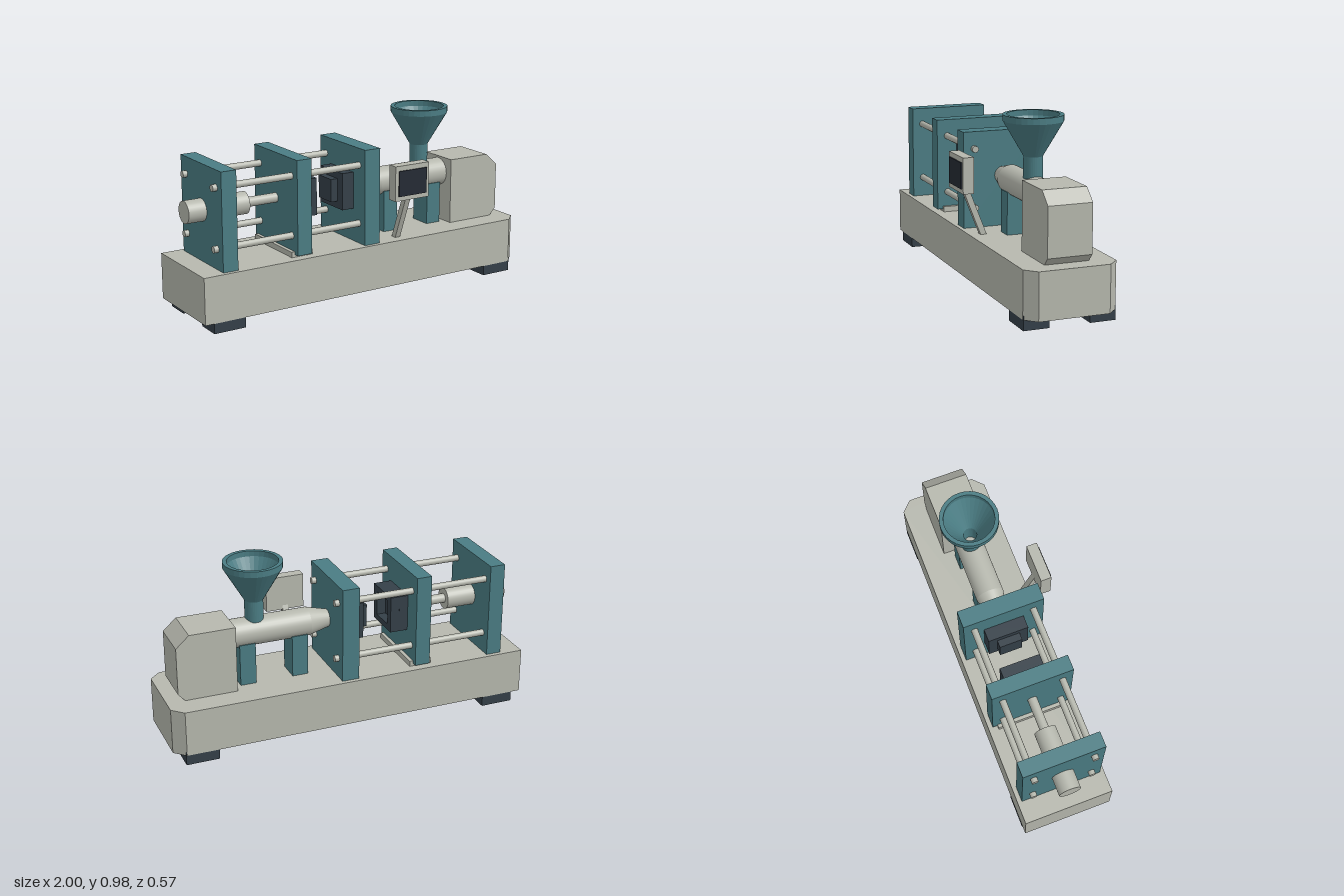
import * as THREE from 'three';

const AXIS_Z = -0.038; // machine centre line
const AXIS_Y = 0.583;  // barrel and clamp height

export function createModel() {
  const model = new THREE.Group();
  model.name = 'injectionMouldingMachine';

  const paint = (name, color) => {
    const m = new THREE.MeshStandardMaterial({ color });
    m.name = name;
    return m;
  };
  const grey = paint('warmGrey', 0xb6b8ae);
  const teal = paint('teal', 0x4a7c83);
  const dark = paint('darkSlate', 0x343f48);
  const black = paint('screenBlack', 0x242a33);

  const add = (name, geometry, material) => {
    const mesh = new THREE.Mesh(geometry, material);
    mesh.name = name;
    model.add(mesh);
    return mesh;
  };
  // Box from its limits on each axis
  const box = (name, mat, x0, x1, y0, y1, z0, z1) =>
    add(name, new THREE.BoxGeometry(x1 - x0, y1 - y0, z1 - z0), mat)
      .position.set((x0 + x1) / 2, (y0 + y1) / 2, (z0 + z1) / 2);
  // Round bar along x, r0 at the low end and r1 at the high end
  const bar = (name, mat, x0, x1, r0, r1 = r0, y = AXIS_Y, z = AXIS_Z, sides = 32) =>
    add(name, new THREE.CylinderGeometry(r1, r0, x1 - x0, sides).rotateZ(-Math.PI / 2), mat)
      .position.set((x0 + x1) / 2, y, z);
  const polygon = (pts) => new THREE.Shape(pts.map(([x, y]) => new THREE.Vector2(x, y)));
  const extrude = (shape, depth) =>
    new THREE.ExtrudeGeometry(shape, { depth, bevelEnabled: false });

  // Base with two clipped corners at the drive end
  const plan = polygon([[-1, -0.248], [0.94, -0.248], [1, -0.19], [1, 0.19], [0.94, 0.248], [-1, 0.248]]);
  add('base', extrude(plan, 0.25).rotateX(-Math.PI / 2), grey).position.set(0, 0.055, AXIS_Z);

  // Feet
  for (const x of [-0.95, 0.765]) {
    for (const z of [-0.285, 0.071]) box('foot', dark, x, x + 0.18, 0, 0.075, z, z + 0.138);
  }

  // Platens and the slide under the moving one
  box('rearPlaten', teal, -0.88, -0.795, 0.305, 0.828, -0.262, 0.187);
  box('movingPlaten', teal, -0.445, -0.36, 0.318, 0.828, -0.262, 0.187);
  box('fixedPlaten', teal, -0.03, 0.065, 0.305, 0.828, -0.262, 0.187);
  box('slideShoe', grey, -0.465, -0.34, 0.304, 0.335, -0.235, 0.157);

  // Tie bars
  for (const y of [0.416, 0.736]) {
    for (const z of [-0.203, 0.128]) bar('tieBar', grey, -0.905, 0.09, 0.018, 0.018, y, z, 16);
  }

  // Clamp cylinder and its rod
  bar('clampCylinder', grey, -0.98, -0.63, 0.06);
  bar('clampRod', grey, -0.64, -0.44, 0.026, 0.026, AXIS_Y, AXIS_Z, 20);

  // Moving mould half: back plate and a frame around the cavity
  const square = (h) => [[-h, -h], [h, -h], [h, h], [-h, h]];
  box('movingMouldBack', dark, -0.36, -0.31, 0.485, 0.687, -0.15, 0.073);
  const frame = polygon([[-0.1115, -0.101], [0.1115, -0.101], [0.1115, 0.101], [-0.1115, 0.101]]);
  frame.holes.push(new THREE.Path(polygon(square(0.068)).getPoints().reverse()));
  add('movingMouldFrame', extrude(frame, 0.05).rotateY(Math.PI / 2), dark)
    .position.set(-0.31, 0.586, AXIS_Z);

  // Fixed mould half with its core
  box('fixedMould', dark, -0.1, -0.03, 0.485, 0.687, -0.15, 0.073);
  box('mouldCore', dark, -0.14, -0.1, 0.525, 0.65, -0.102, 0.024);

  // Barrel, nozzle and supports
  bar('nozzle', grey, 0.05, 0.18, 0.044, 0.077);
  bar('barrel', grey, 0.18, 0.63, 0.077);
  for (const x of [0.2, 0.492]) box('barrelSupport', teal, x, x + 0.088, 0.305, 0.535, AXIS_Z - 0.065, AXIS_Z + 0.065);

  // Drive housing, clipped at its outer end
  const housing = polygon([[0.615, 0.305], [0.9, 0.305], [0.937, 0.345], [0.937, 0.605], [0.865, 0.67], [0.615, 0.67]]);
  add('driveHousing', extrude(housing, 0.238), grey).position.z = AXIS_Z - 0.119;

  // Hollow hopper, open down to the barrel
  const hopperProfile = [
    [0.036, 0.645], [0.05, 0.645], [0.05, 0.76], [0.157, 0.943], [0.157, 0.975],
    [0.135, 0.975], [0.135, 0.945], [0.036, 0.77], [0.036, 0.645],
  ].map(([r, y]) => new THREE.Vector2(r, y));
  const hopperGeometry = new THREE.LatheGeometry(hopperProfile, 32).toNonIndexed();
  hopperGeometry.computeVertexNormals();
  add('hopper', hopperGeometry, teal).position.set(0.475, 0, AXIS_Z);

  // Control panel on a leaning arm; profile is (-z, y)
  const arm = polygon([[-0.151, 0.304], [-0.117, 0.304], [-0.231, 0.594], [-0.265, 0.594]]);
  add('panelArm', extrude(arm, 0.032).rotateY(Math.PI / 2), grey).position.x = 0.191;
  box('panelCase', grey, 0.1, 0.315, 0.55, 0.741, 0.223, 0.282);
  box('panelScreen', black, 0.12, 0.297, 0.575, 0.714, 0.281, 0.289);

  return model;
}
